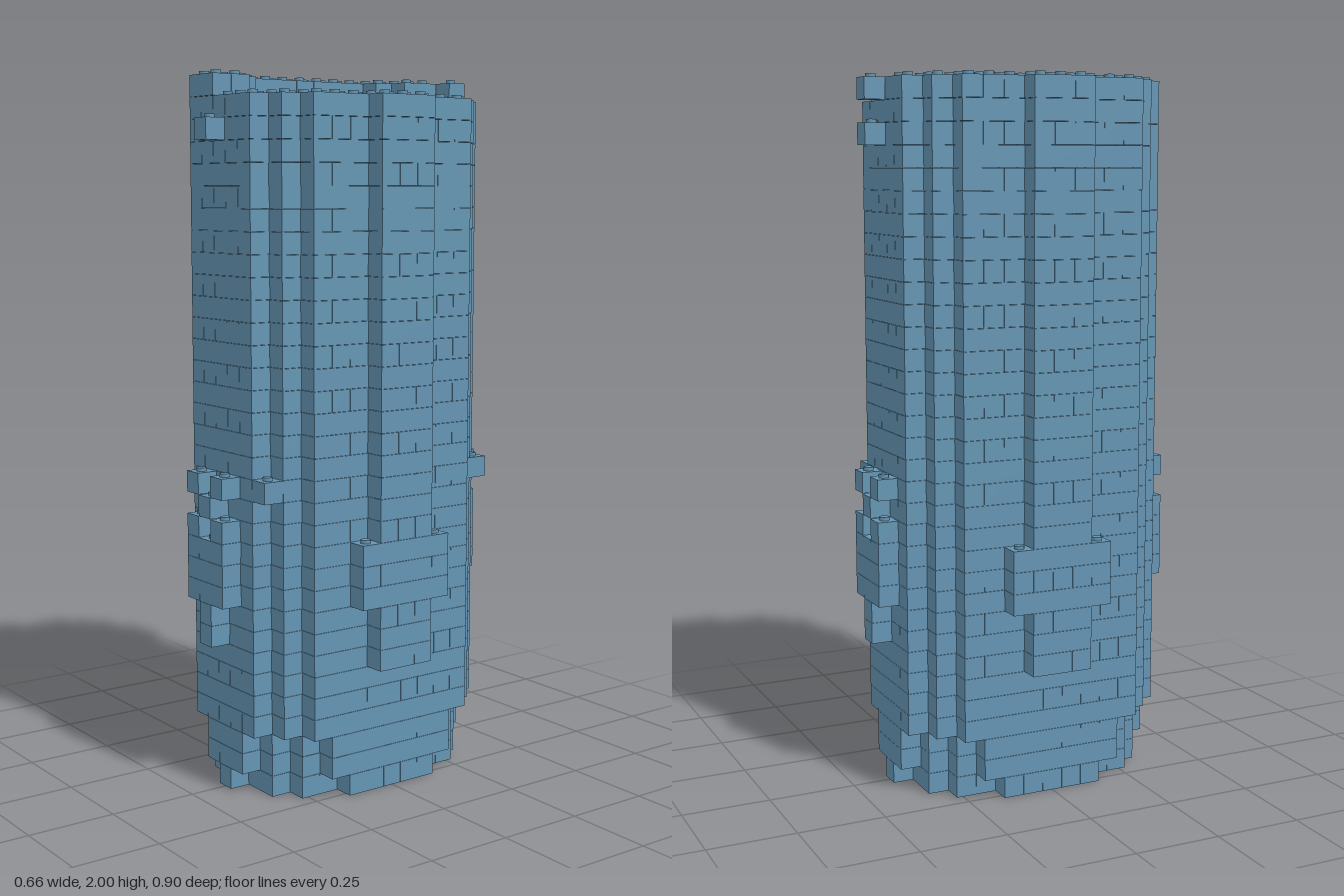
import * as THREE from 'three';
import { mergeGeometries } from 'three/addons/utils/BufferGeometryUtils.js';

const P = 0.06;            // brick pitch in x and z
const H = 0.0603;          // course height
const LAYERS = 33;
const GAP = 0.0008;        // hairline joint between bricks

// Half width (in bricks) of the tower wall for each row |k| on a given course
function halfWidth(layer, k) {
  const a = Math.abs(k);
  if (a > 6) return -1;
  if (layer === 1) return [4, 4, 4, 3, 3, 2, 0][a];
  if (layer <= 3) return [4, 4, 4, 4, 3, 2, 1][a];
  if (layer >= 7 && a <= 1) return 5;                    // side ribs
  if (layer >= 10 && layer <= 12 && a === 2) return 5;   // rib shoulders
  return [4, 4, 4, 4, 4, 3, 2][a];
}

// Hollow shaft above the floor, with corner posts
function isHollow(layer, i, k) {
  if (layer <= 3) return false;
  const a = Math.abs(i), c = Math.abs(k);
  if (c > 4 || a > 2) return false;
  if (a < 2 || c <= 2) return true;
  return c === 3 && layer > 17;
}

// Ornament bricks on the front and back faces
function isOrnament(layer, i, k) {
  const a = Math.abs(i);
  if (Math.abs(k) === 6) return layer === 15 && i === 3;
  if (Math.abs(k) !== 7) return false;
  if (layer === 8 || layer === 9) return a === 0;
  if (layer >= 10 && layer <= 12) return a <= 1;
  if (layer === 13 || layer === 15) return a === 1;
  if (layer === 14 || layer === 31) return a === 0;
  return layer === 33 && i === 0 && k === -7;
}

function isWall(layer, i, k) {
  if (layer < 1 || layer > LAYERS) return false;
  if (layer === LAYERS && i > -1) return false;          // unfinished top course
  return Math.abs(i) <= halfWidth(layer, k) && !isHollow(layer, i, k);
}

const isFilled = (layer, i, k) => isWall(layer, i, k) || isOrnament(layer, i, k);

// One brick covering cells i0..i1, k0..k1 of a course
function brick(layer, i0, i1, k0, k1) {
  const g = new THREE.BoxGeometry((i1 - i0 + 1) * P - GAP, H - GAP, (k1 - k0 + 1) * P - GAP);
  g.translate((i0 + i1) / 2 * P, (layer - 0.5) * H, (k0 + k1) / 2 * P);
  return g;
}

// Joins neighbouring cells into bricks, alternating direction on each course
function bricksOf(layer, test) {
  const out = [];
  const alongX = layer % 2 === 1;
  for (let r = -7; r <= 7; r++) {
    let start = null;
    for (let c = -7; c <= 8; c++) {
      const on = c <= 7 && (alongX ? test(layer, c, r) : test(layer, r, c));
      if (on && start === null) start = c;
      if (!on && start !== null) {
        out.push(alongX ? brick(layer, start, c - 1, r, r) : brick(layer, r, r, start, c - 1));
        start = null;
      }
    }
  }
  return out;
}

export function createModel() {
  const model = new THREE.Group();
  model.name = 'brickTower';
  const blue = new THREE.MeshStandardMaterial({ color: 0x6595b3 });
  blue.name = 'dusty blue';

  const add = (name, parts) => {
    if (!parts.length) return;
    const mesh = new THREE.Mesh(mergeGeometries(parts), blue);
    mesh.name = name;
    model.add(mesh);
  };

  // Courses, ornaments and the studs left exposed on top of them
  const ornaments = [], studs = [];
  for (let layer = 1; layer <= LAYERS; layer++) {
    add(layer <= 3 ? 'baseCourse' + layer : 'wallCourse' + layer, bricksOf(layer, isWall));
    ornaments.push(...bricksOf(layer, isOrnament));
    for (let i = -5; i <= 5; i++) {
      for (let k = -7; k <= 7; k++) {
        if (!isFilled(layer, i, k) || isFilled(layer + 1, i, k)) continue;
        const s = new THREE.CylinderGeometry(0.014, 0.014, 0.01, 16);
        s.translate(i * P, layer * H + 0.0045, k * P);
        studs.push(s);
      }
    }
  }
  add('faceOrnaments', ornaments);
  add('studs', studs);
  return model;
}
